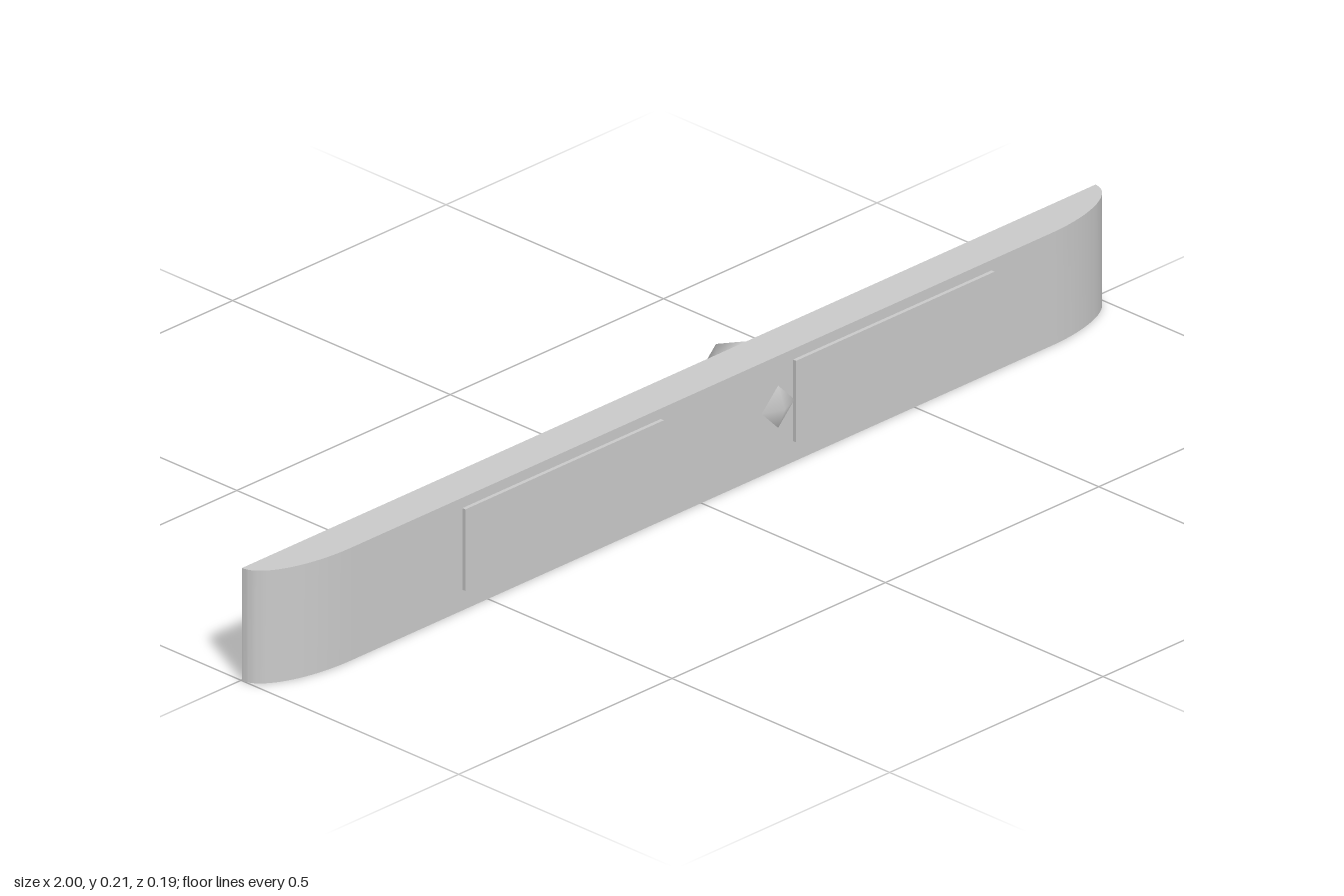
import * as THREE from 'three';
import { toCreasedNormals } from 'three/addons/utils/BufferGeometryUtils.js';

const HEIGHT = 0.206, BACK = 0.002, FRONT = 0.077;
const SEAM = 0.82; // where the flat bar turns into its rounded ends
const WINDOWS = [[-0.56, -0.095], [0.215, 0.68]];
const WIN_BOTTOM = 0.038, WIN_TOP = 0.187;

const grey = new THREE.MeshStandardMaterial({ color: 0xcccccc });

function add(group, name, geometry, x = 0, y = 0, z = 0) {
  const mesh = new THREE.Mesh(geometry, grey);
  mesh.name = name;
  mesh.position.set(x, y, z);
  group.add(mesh);
  return mesh;
}

function tracePath(path, x0, y0, x1, y1) {
  path.moveTo(x0, y0);
  path.lineTo(x1, y0);
  path.lineTo(x1, y1);
  path.lineTo(x0, y1);
  path.closePath();
  return path;
}

// Straight middle of the bar, with two rectangular pockets cut from the back
function barMiddle() {
  const shape = tracePath(new THREE.Shape(), -SEAM, 0, SEAM, HEIGHT);
  for (const [x0, x1] of WINDOWS) {
    shape.holes.push(tracePath(new THREE.Path(), x0, WIN_BOTTOM, x1, WIN_TOP));
  }
  return new THREE.ExtrudeGeometry(shape, { depth: FRONT - BACK, bevelEnabled: false });
}

// End of the bar: a quarter ellipse in plan, extruded upwards
function barEnd() {
  const shape = new THREE.Shape();
  shape.moveTo(0, 0);
  shape.lineTo(1 - SEAM, 0);
  shape.absellipse(0, 0, 1 - SEAM, FRONT - BACK, 0, Math.PI / 2, false);
  shape.closePath();
  const geometry = new THREE.ExtrudeGeometry(shape, { depth: HEIGHT, bevelEnabled: false, curveSegments: 14 });
  geometry.rotateX(Math.PI / 2); // plan depth to +z, extrusion downwards
  return toCreasedNormals(geometry, 0.5);
}

export function createModel() {
  const model = new THREE.Group();
  model.name = 'handleBar';

  add(model, 'barMiddle', barMiddle(), 0, 0, BACK);
  add(model, 'leftEnd', barEnd(), SEAM, HEIGHT, BACK);
  // The other end is the same piece mirrored
  add(model, 'rightEnd', barEnd(), -SEAM, HEIGHT, BACK).scale.x = -1;

  // Thin raised plates closing the pockets at the front
  for (const [x0, x1] of WINDOWS) {
    const plate = new THREE.BoxGeometry(x1 - x0, WIN_TOP - WIN_BOTTOM, 0.007);
    add(model, 'frontPlate', plate, (x0 + x1) / 2, (WIN_BOTTOM + WIN_TOP) / 2, FRONT + 0.0035);
  }

  // Round pads on the back
  for (const x of [-0.725, 0.775]) {
    const pad = new THREE.CylinderGeometry(0.045, 0.045, 0.01, 32);
    pad.rotateX(Math.PI / 2);
    add(model, 'backPad', pad, x, 0.09, 0.001);
  }

  // Faceted knob, its tip just showing through the front
  add(model, 'knob', new THREE.OctahedronGeometry(0.093, 1), 0.18, 0.113, 0);

  return model;
}
